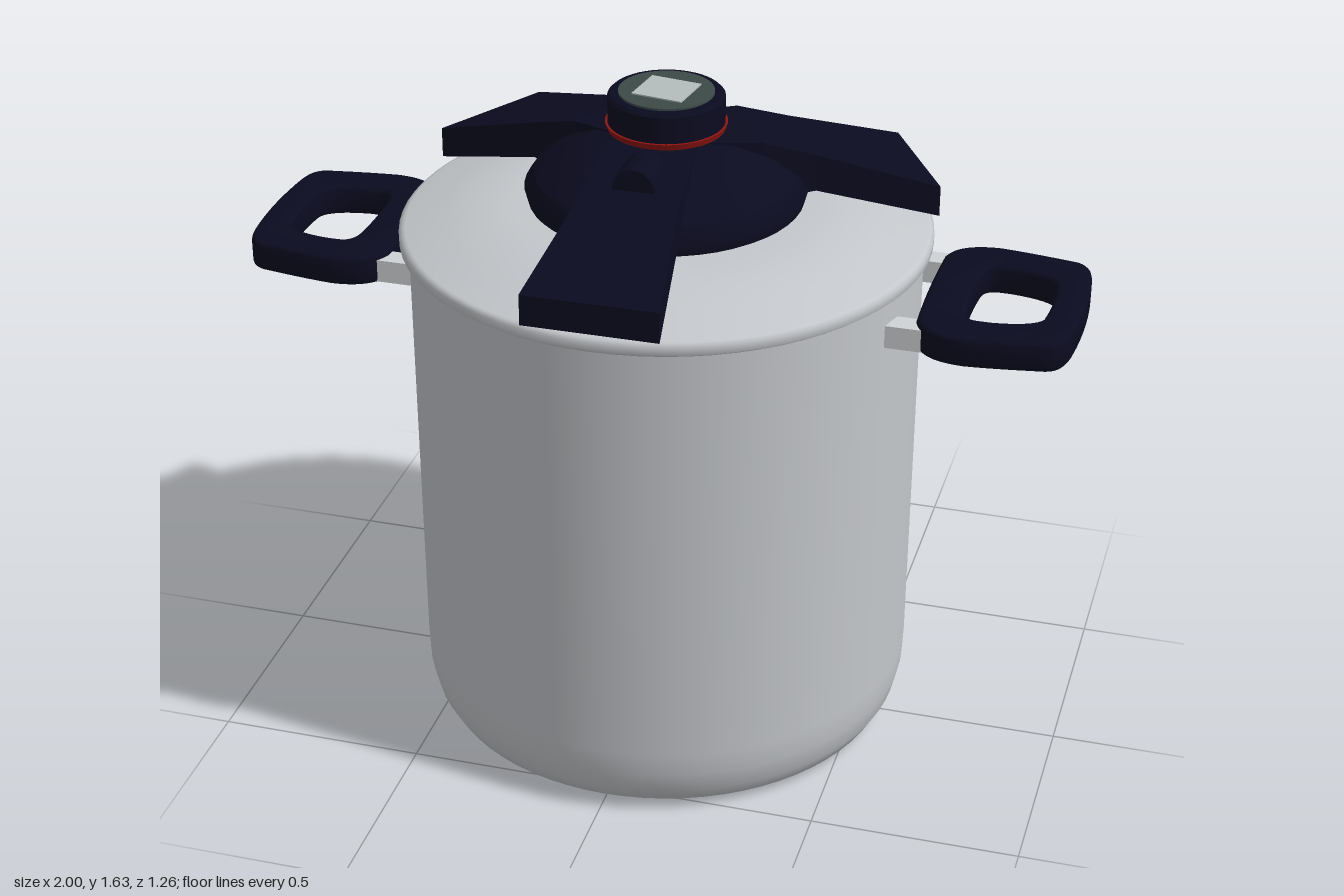
import * as THREE from 'three';
import { toCreasedNormals } from 'three/addons/utils/BufferGeometryUtils.js';

const mat = (name, color, extra = {}) => Object.assign(new THREE.MeshStandardMaterial({ color, ...extra }), { name });

export function createModel() {
  const steel = mat('brushed steel', 0xc4c7cb);
  const bracketSteel = mat('bracket steel', 0xd0d3d5);
  const plastic = mat('dark plastic', 0x0b0b20);
  const red = mat('red ring', 0x8e1512);
  const capGrey = mat('cap grey green', 0x3c4a48);
  const plateGrey = mat('indicator grey', 0xb4bcbc);

  const model = new THREE.Group();
  model.name = 'pressureCooker';

  const add = (name, geometry, material, parent = model) => {
    const mesh = new THREE.Mesh(geometry, material);
    mesh.name = name;
    parent.add(mesh);
    return mesh;
  };
  // Profile points run from the bottom up; a repeated point makes a sharp edge.
  const lathe = (points, segments = 72) =>
    new THREE.LatheGeometry(points.map(([x, y]) => new THREE.Vector2(x, y)), segments);

  // Pot body with rounded base
  add('potBody', lathe([
    [0, 0], [0.48, 0], [0.48, 0], [0.53, 0.008], [0.562, 0.025], [0.585, 0.065],
    [0.598, 0.12], [0.601, 0.18], [0.608, 1.265],
  ]), steel);

  // Lid with rolled rim and sloping shoulder
  add('lid', lathe([
    [0.59, 1.262], [0.622, 1.262], [0.622, 1.262], [0.63, 1.268], [0.63, 1.288],
    [0.622, 1.296], [0.615, 1.298], [0.52, 1.327], [0.43, 1.346], [0.35, 1.35], [0, 1.35],
  ]), steel);

  // Domed hub on the lid
  const lock = new THREE.Group();
  lock.name = 'lidLock';
  model.add(lock);
  add('hub', lathe([
    [0.3, 1.345], [0.325, 1.36], [0.325, 1.36], [0.333, 1.39], [0.31, 1.425], [0.31, 1.425],
    [0.25, 1.475], [0.17, 1.513], [0.08, 1.53], [0, 1.532],
  ], 48), plastic, lock);

  // Three sloping arms: each station is radius, half width, bottom, top
  const stations = [
    [0.03, 0.09, 1.37, 1.527], [0.2, 0.11, 1.37, 1.518], [0.33, 0.118, 1.385, 1.475], [0.622, 0.16, 1.305, 1.38],
  ];
  const rings = stations.map(([r, w, lo, hi]) => [[-w, lo, r], [w, lo, r], [w, hi, r], [-w, hi, r]]);
  const corners = [];
  const quad = (a, b, c, d) => corners.push(...a, ...b, ...c, ...a, ...c, ...d);
  for (let i = 0; i < rings.length - 1; i++) {
    for (let j = 0; j < 4; j++) {
      const k = (j + 1) % 4;
      quad(rings[i][j], rings[i][k], rings[i + 1][k], rings[i + 1][j]);
    }
  }
  quad(...rings[rings.length - 1]);
  quad(...[...rings[0]].reverse());
  const armGeometry = new THREE.BufferGeometry();
  armGeometry.setAttribute('position', new THREE.Float32BufferAttribute(corners, 3));
  armGeometry.computeVertexNormals();
  ['frontArm', 'backLeftArm', 'backRightArm'].forEach((name, i) => {
    add(name, armGeometry, plastic, lock).rotation.y = i * Math.PI * 2 / 3;
  });

  // Round valve button facing forwards
  const button = add('valveButton', new THREE.CylinderGeometry(0.05, 0.05, 0.11, 24), plastic, lock);
  button.rotation.x = Math.PI / 2;
  button.position.set(0, 1.495, 0.223);

  // Control knob: stem, red ring, body, cap and indicator plate
  const knob = new THREE.Group();
  knob.name = 'controlKnob';
  model.add(knob);
  add('knobStem', new THREE.CylinderGeometry(0.09, 0.09, 0.04, 32).translate(0, 1.525, 0), plastic, knob);
  add('redRing', new THREE.CylinderGeometry(0.143, 0.138, 0.015, 48).translate(0, 1.5425, 0), red, knob);
  add('knobBody', lathe([
    [0, 1.55], [0.137, 1.55], [0.137, 1.55], [0.137, 1.614], [0.137, 1.614],
    [0.13, 1.621], [0.13, 1.621], [0, 1.621],
  ], 48), plastic, knob);
  add('knobCap', new THREE.CylinderGeometry(0.112, 0.112, 0.006, 48).translate(0, 1.623, 0), capGrey, knob);
  const plate = add('indicatorPlate', new THREE.BoxGeometry(0.125, 0.003, 0.115), plateGrey, knob);
  plate.position.y = 1.6275;
  plate.rotation.y = -0.15;

  // Side handle: rounded loop drawn in plan, symmetric in z
  const bevel = 0.012;
  const roundedLoop = (path, [inner, innerShoulder, wide, far, outer], [z0, zWide, zFar, zOuter]) => {
    path.moveTo(inner, -z0);
    path.quadraticCurveTo(innerShoulder, -zWide, wide, -zWide);
    path.lineTo(wide + 0.03, -zWide);
    path.quadraticCurveTo(outer - 0.005, -zFar, outer - 0.005, -zOuter);
    path.quadraticCurveTo(outer + 0.005, 0, outer - 0.005, zOuter);
    path.quadraticCurveTo(outer - 0.005, zFar, wide + 0.03, zWide);
    path.lineTo(wide, zWide);
    path.quadraticCurveTo(innerShoulder, zWide, inner, z0);
    path.quadraticCurveTo(inner - 0.008, 0, inner, -z0);
    return path;
  };
  const outline = new THREE.Shape();
  outline.moveTo(0.65, -0.165);
  outline.bezierCurveTo(0.66, -0.2, 0.69, -0.228, 0.76, -0.23);
  outline.bezierCurveTo(0.83, -0.225, 0.9, -0.212, 0.94, -0.206);
  outline.bezierCurveTo(0.97, -0.2, 0.975, -0.17, 0.98, -0.14);
  outline.quadraticCurveTo(0.996, 0, 0.98, 0.14);
  outline.bezierCurveTo(0.975, 0.17, 0.97, 0.2, 0.94, 0.206);
  outline.bezierCurveTo(0.9, 0.212, 0.83, 0.225, 0.76, 0.23);
  outline.bezierCurveTo(0.69, 0.228, 0.66, 0.2, 0.65, 0.165);
  outline.quadraticCurveTo(0.642, 0, 0.65, -0.165);
  outline.holes.push(roundedLoop(new THREE.Path(), [0.727, 0.73, 0.775, 0.92, 0.935], [0.09, 0.152, 0.14, 0.08]));
  const handleGeometry = toCreasedNormals(new THREE.ExtrudeGeometry(outline, {
    depth: 0.075 - 2 * bevel, bevelThickness: bevel, bevelSize: bevel, bevelSegments: 3, curveSegments: 10,
  }).rotateX(Math.PI / 2).translate(0, 1.21 - bevel, 0), 0.6);

  // Handle pair, each with two steel brackets
  for (const [name, turn] of [['leftHandle', 0], ['rightHandle', Math.PI]]) {
    const side = new THREE.Group();
    side.name = name;
    side.rotation.y = turn;
    model.add(side);
    add('grip', handleGeometry, plastic, side);
    for (const z of [-0.175, 0.175]) {
      add('bracket', new THREE.BoxGeometry(0.11, 0.056, 0.055).translate(0.605, 1.167, z), bracketSteel, side);
    }
  }
  return model;
}
